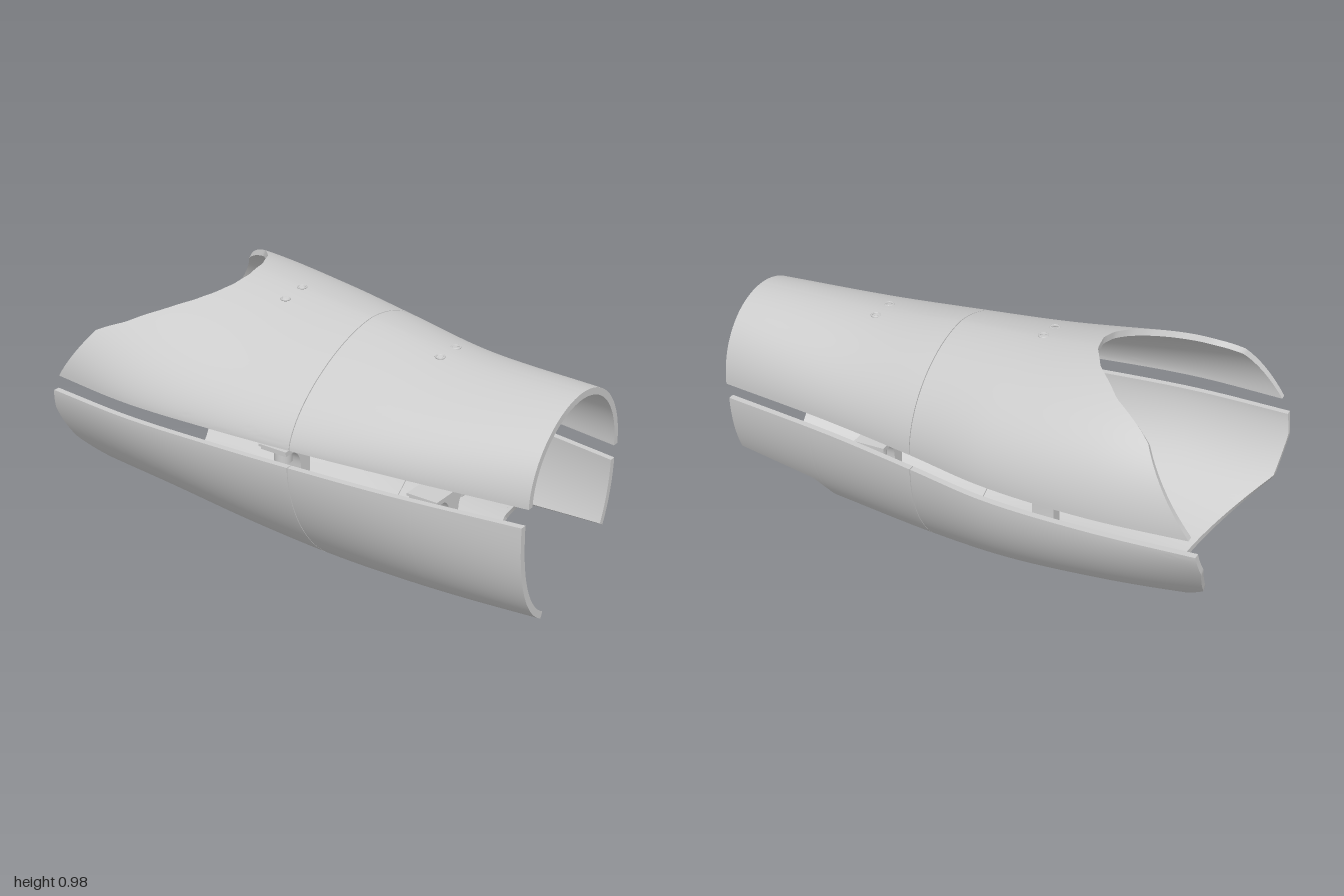
import * as THREE from 'three';
import { toCreasedNormals } from 'three/addons/utils/BufferGeometryUtils.js';

const MAT = new THREE.MeshStandardMaterial({ color: 0xcccccc });
const WALL = 0.025;
const SEAM = 0.119;

// Smooth profile through values at the stations along x
const STATIONS = [-1, -0.6, -0.2, 0.12, 0.5, 1];
function curve(...values) {
  const c = new THREE.CubicInterpolant(STATIONS, values, 1);
  return (x) => c.evaluate(THREE.MathUtils.clamp(x, -1, 0.9999))[0];
}

// Straight interpolation in a list of [key, value] pairs
function lerpTable(table, k) {
  if (k <= table[0][0]) return table[0][1];
  for (let i = 1; i < table.length; i++) {
    const [k0, v0] = table[i - 1], [k1, v1] = table[i];
    if (k <= k1) return v0 + ((v1 - v0) * (k - k0)) / (k1 - k0);
  }
  return table[table.length - 1][1];
}

// Cross-section rules of the two half shells
const UPPER = {
  sign: 1,
  front: curve(0.505, 0.535, 0.51, 0.475, 0.42, 0.335),
  back: curve(-0.525, -0.545, -0.515, -0.44, -0.36, -0.28),
  crestZ: curve(-0.08, -0.08, -0.06, -0.03, 0, 0.01),
  crestY: curve(1.0, 0.995, 0.95, 0.92, 0.877, 0.867),
  powFront: curve(2.25, 1.77, 1.62, 1.6, 1.75, 1.9),
  powBack: curve(2.05, 2, 2, 2, 2, 2.1),
  cutY: (x) => 0.583 - 0.016 * x,
};
const LOWER = {
  sign: -1,
  front: curve(0.515, 0.535, 0.515, 0.488, 0.445, 0.36),
  back: curve(-0.52, -0.533, -0.51, -0.44, -0.36, -0.28),
  crestZ: curve(0.01, 0.04, 0.07, 0.07, 0.06, 0.06),
  crestY: curve(0.07, 0.066, 0.033, 0.004, 0.012, 0.05),
  powFront: curve(1.7, 1.75, 1.8, 1.8, 2, 2.4),
  powBack: curve(1.45, 1.83, 2, 2, 2, 2),
  cutY: (x) => 0.521 - 0.014 * x,
};

// Point on a half shell: t runs 0..PI from the front edge over the crest to the back edge
function shellPoint(s, x, t, inset) {
  const c = Math.cos(t), zc = s.crestZ(x), y0 = s.cutY(x);
  const n = c >= 0 ? s.powFront(x) : s.powBack(x);
  const half = (c >= 0 ? s.front(x) - zc : zc - s.back(x)) - inset;
  const h = Math.abs(s.crestY(x) - y0) - inset;
  return [
    x,
    y0 + s.sign * h * Math.pow(Math.max(0, Math.sin(t)), 2 / n),
    zc + Math.sign(c) * half * Math.pow(Math.abs(c), 2 / n),
  ];
}

// Height of the shell at a given x and z, by bisection over t
function shellY(s, x, z, inset) {
  let a = 0, b = Math.PI;
  for (let i = 0; i < 30; i++) {
    const m = (a + b) / 2;
    if (shellPoint(s, x, m, inset)[2] > z) a = m;
    else b = m;
  }
  return shellPoint(s, x, a, inset)[1];
}

// Outline of the wide end: a deep scoop above, a slanted cut below
const SCOOP = [[-0.5, -0.96], [-0.45, -0.8], [-0.4, -0.73], [-0.32, -0.61], [-0.2, -0.5], [-0.1, -0.448],
  [0, -0.43], [0.08, -0.44], [0.15, -0.47], [0.22, -0.52], [0.3, -0.6], [0.39, -0.71], [0.44, -0.81], [0.5, -0.96]];
const SLANT = [[0.07, -0.76], [0.3, -0.98], [0.45, -1], [0.54, -0.985]];
function wideEnd(s, t) {
  let x = -0.8;
  for (let i = 0; i < 8; i++) {
    const [, y, z] = shellPoint(s, x, t, 0);
    x = s === UPPER
      ? Math.max(lerpTable(SCOOP, z), lerpTable([[0.6, -0.96], [0.9, -0.74]], y))
      : lerpTable(SLANT, y);
  }
  return x;
}

// Closed wall panel; xStart depends on t, the t limits depend on x
function panel(name, s, tMin, tMax, xStart, xEnd, nu = 24, nt = 72) {
  const pos = [];
  const [o, n] = [0, WALL].map((inset) => {
    const rows = [];
    for (let i = 0; i <= nu; i++) {
      const row = [];
      for (let j = 0; j <= nt; j++) {
        const a = xStart((Math.PI * j) / nt);
        const x = a + ((xEnd - a) * i) / nu;
        row.push(shellPoint(s, x, tMin(x) + ((tMax(x) - tMin(x)) * j) / nt, inset));
      }
      rows.push(row);
    }
    return rows;
  });
  const quad = (a, b, c, d) => {
    const q = s.sign > 0 ? [a, b, c, a, c, d] : [a, c, b, a, d, c];
    q.forEach((p) => pos.push(...p));
  };
  for (let i = 0; i < nu; i++) {
    for (let j = 0; j < nt; j++) {
      quad(o[i][j], o[i + 1][j], o[i + 1][j + 1], o[i][j + 1]);
      quad(n[i][j], n[i][j + 1], n[i + 1][j + 1], n[i + 1][j]);
    }
    quad(o[i][0], n[i][0], n[i + 1][0], o[i + 1][0]);
    quad(o[i][nt], o[i + 1][nt], n[i + 1][nt], n[i][nt]);
  }
  for (let j = 0; j < nt; j++) {
    quad(o[0][j], o[0][j + 1], n[0][j + 1], n[0][j]);
    quad(o[nu][j], n[nu][j], n[nu][j + 1], o[nu][j + 1]);
  }
  const g = new THREE.BufferGeometry();
  g.setAttribute('position', new THREE.Float32BufferAttribute(pos, 3));
  return part(name, toCreasedNormals(g, 0.6));
}

function part(name, geometry, x = 0, y = 0, z = 0) {
  const m = new THREE.Mesh(geometry, MAT);
  m.name = name;
  m.position.set(x, y, z);
  return m;
}

// Waisted post along x: flat at the plate, flared into the curve of the shell
function postGeometry(s, x, yPlate, wPlate, wShell, waist, flare, length) {
  const d = s.sign;
  const skin = (z) => shellY(s, x, z, WALL * 0.6);
  const sh = new THREE.Shape();
  sh.moveTo(-wPlate, yPlate);
  sh.lineTo(wPlate, yPlate);
  sh.quadraticCurveTo(waist, yPlate + d * 0.01, waist, yPlate + d * flare);
  sh.lineTo(waist, skin(-waist) - d * flare);
  sh.quadraticCurveTo(waist, skin(-wShell) - d * 0.015, wShell, skin(-wShell));
  for (let i = 3; i >= -4; i--) sh.lineTo((wShell * i) / 4, skin((-wShell * i) / 4));
  sh.quadraticCurveTo(-waist, skin(wShell) - d * 0.015, -waist, skin(waist) - d * flare);
  sh.lineTo(-waist, yPlate + d * flare);
  sh.quadraticCurveTo(-waist, yPlate + d * 0.01, -wPlate, yPlate);
  const g = new THREE.ExtrudeGeometry(sh, { depth: length, bevelEnabled: false, curveSegments: 8 });
  g.translate(0, 0, -length / 2);
  g.rotateY(Math.PI / 2);
  return toCreasedNormals(g, 0.6);
}

// Inner mount: two-layer plate, bosses and a post reaching the shell
function mount(name, x, s) {
  const g = new THREE.Group();
  g.name = name;
  const d = s.sign;
  const face = s === UPPER ? 0.692 : 0.362;
  g.add(part('plateFace', new THREE.BoxGeometry(0.13, 0.01, 0.294), 0, face + d * 0.005));
  g.add(part('plateBack', new THREE.BoxGeometry(0.12, 0.014, 0.28), 0, face + d * 0.016));
  g.add(part('post', s === UPPER
    ? postGeometry(s, x, face + d * 0.022, 0.07, 0.085, 0.032, 0.065, 0.09)
    : postGeometry(s, x, face + d * 0.022, 0.12, 0.11, 0.028, 0.09, 0.09)));
  for (const side of [-1, 1]) {
    g.add(part('boss', new THREE.CylinderGeometry(0.035, 0.035, 0.057, 24), 0, face + d * 0.05, side * 0.08));
    // Screw rim on the outer skin
    const rim = new THREE.TorusGeometry(0.016, 0.004, 8, 20);
    rim.rotateX(Math.PI / 2);
    g.add(part('screwRim', rim, 0, shellY(s, x, side * 0.05, 0), side * 0.05));
  }
  g.position.x = x;
  return g;
}

export function createModel() {
  const model = new THREE.Group();
  model.name = 'limbGuard';
  const gap = 0.0015;
  const at = (v) => () => v;

  // Upper half: scooped wide panel and narrow panel, split by a seam
  model.add(panel('upperWidePanel', UPPER, at(0), at(Math.PI), (t) => wideEnd(UPPER, t), SEAM - gap, 36, 96));
  model.add(panel('upperNarrowPanel', UPPER, at(0), at(Math.PI), at(SEAM + gap), 0.998));

  // Lower half: wide panel, middle panel and two cheeks around a notch with rounded corners
  const fillet = (x) => 0.16 * Math.max(0, 1 - (x - 0.6) / 0.06) ** 2;
  const frontEdge = (x) => 1.17 + 0.15 * (1 - x) + fillet(x);
  const backEdge = (x) => Math.PI - 0.57 - 0.15 * (1 - x) - fillet(x);
  model.add(panel('lowerWidePanel', LOWER, at(0), at(Math.PI), (t) => wideEnd(LOWER, t), SEAM - gap, 36, 96));
  model.add(panel('lowerMiddlePanel', LOWER, at(0), at(Math.PI), at(SEAM + gap), 0.6));
  model.add(panel('lowerFrontCheek', LOWER, at(0), frontEdge, at(0.6), 0.99, 36, 36));
  model.add(panel('lowerBackCheek', LOWER, backEdge, at(Math.PI), at(0.6), 0.99, 36, 24));

  // Mounts inside both halves
  for (const x of [-0.22, 0.46]) {
    model.add(mount('upperMount', x, UPPER));
    model.add(mount('lowerMount', x, LOWER));
  }
  return model;
}
